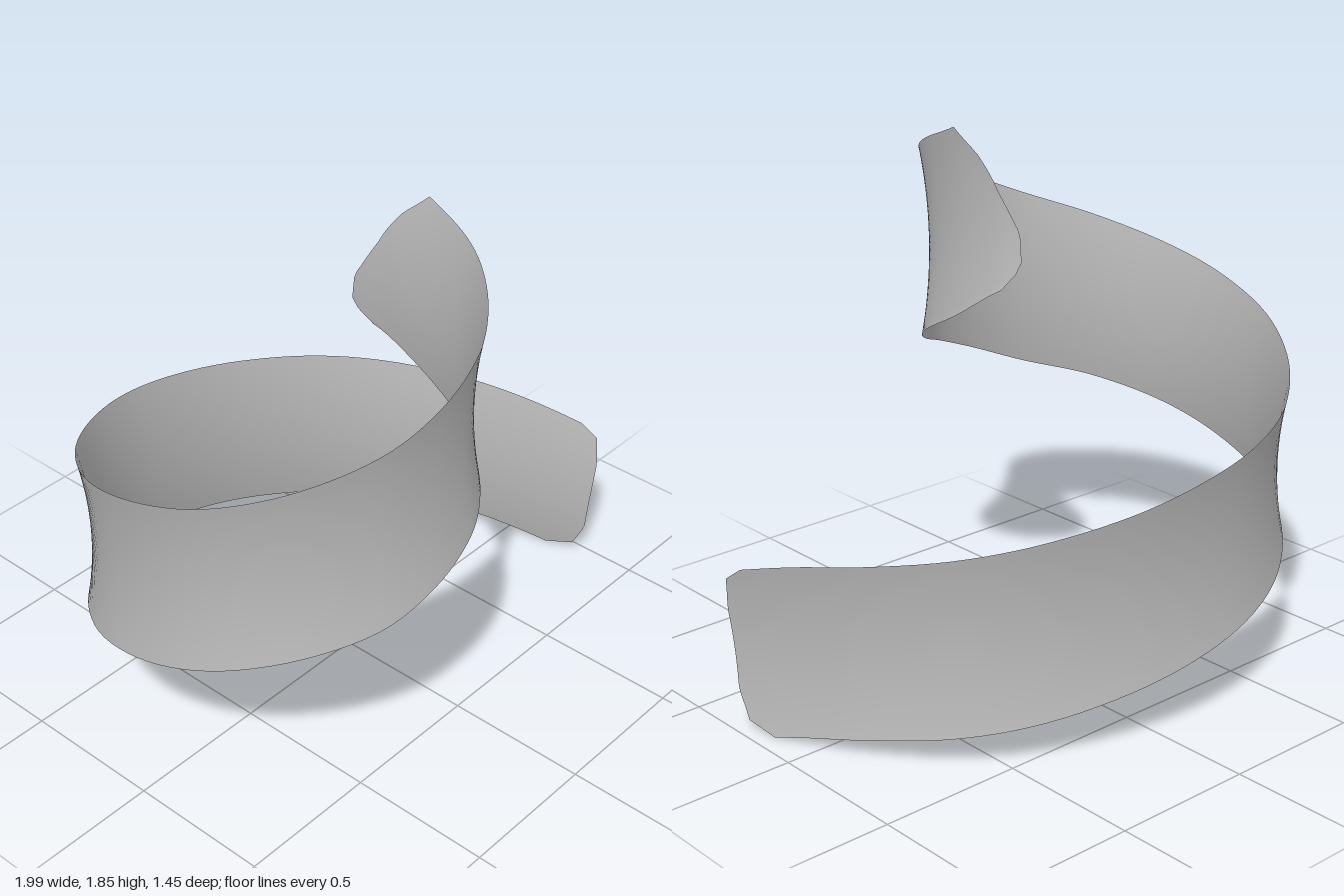
import * as THREE from 'three';

// Path stations from the inner upper end to the outer lower end: x, z, lower edge y, upper edge y
const stations = [
  [-0.01, 0.02, 1.38, 1.965], [0.035, 0.11, 1.32, 1.93], [0.055, 0.27, 1.215, 1.85],
  [0.03, 0.425, 1.135, 1.79], [-0.03, 0.54, 1.07, 1.735], [-0.12, 0.63, 1.01, 1.67],
  [-0.24, 0.69, 0.96, 1.612], [-0.41, 0.707, 0.89, 1.535], [-0.60, 0.66, 0.81, 1.45],
  [-0.80, 0.52, 0.745, 1.365], [-0.94, 0.31, 0.67, 1.28], [-0.985, 0.07, 0.595, 1.205],
  [-0.94, -0.19, 0.52, 1.125], [-0.80, -0.42, 0.445, 1.045], [-0.60, -0.59, 0.38, 0.975],
  [-0.37, -0.685, 0.325, 0.925], [-0.12, -0.707, 0.27, 0.875], [0.15, -0.665, 0.215, 0.82],
  [0.42, -0.55, 0.157, 0.765], [0.63, -0.38, 0.112, 0.715], [0.79, -0.15, 0.072, 0.667],
  [0.89, 0.08, 0.025, 0.62], [0.98, 0.335, -0.045, 0.55],
];
const last = stations.length - 1;

// Rounded, slanted ends: height fraction across the band -> station where the band starts or stops
const startEnd = [[0, 0.7], [0.07, 0], [0.27, 0.12], [0.54, 0.9], [0.81, 1.45], [1, 1.95]];
const stopEnd = [[0, 21.34], [0.1, 21.73], [0.28, 21.9], [0.77, 22], [0.95, 21.96], [1, 21.73]];

function interpolate(table, v) {
  let i = 1;
  while (i < table.length - 1 && v > table[i][0]) i++;
  const [a, b] = [table[i - 1], table[i]];
  return THREE.MathUtils.mapLinear(v, a[0], b[0], a[1], b[1]);
}

function edgeCurve(column) {
  const points = stations.map(s => new THREE.Vector3(s[0], s[column], s[1]));
  return new THREE.CatmullRomCurve3(points, false, 'catmullrom', 0.5);
}

export function createModel() {
  const group = new THREE.Group();
  group.name = 'spiralRibbon';
  const grey = new THREE.MeshStandardMaterial({ color: 0xb8b8b8, side: THREE.DoubleSide });
  grey.name = 'grey';

  const lower = edgeCurve(2), upper = edgeCurve(3);
  const along = 110, across = 20, bow = 0.03;

  // Unit plane bent into the band: u runs along the spiral, v across its height
  const geometry = new THREE.PlaneGeometry(1, 1, along, across);
  const position = geometry.attributes.position;
  for (let i = 0; i < position.count; i++) {
    const u = position.getX(i) + 0.5;
    const v = THREE.MathUtils.clamp(position.getY(i) + 0.5, 0, 1);
    const t = THREE.MathUtils.lerp(interpolate(startEnd, v), interpolate(stopEnd, v), u) / last;
    const point = lower.getPoint(t).lerp(upper.getPoint(t), v);
    // Gentle outward bow in the middle of the band
    const tangent = lower.getTangent(t);
    const outward = new THREE.Vector3(tangent.z, 0, -tangent.x).normalize();
    point.addScaledVector(outward, -bow * (0.5 - (2 * v - 1) ** 2));
    position.setXYZ(i, point.x, Math.max(point.y, 0), point.z);
  }
  geometry.computeVertexNormals();

  const band = new THREE.Mesh(geometry, grey);
  band.name = 'curvedBand';
  group.add(band);
  return group;
}
